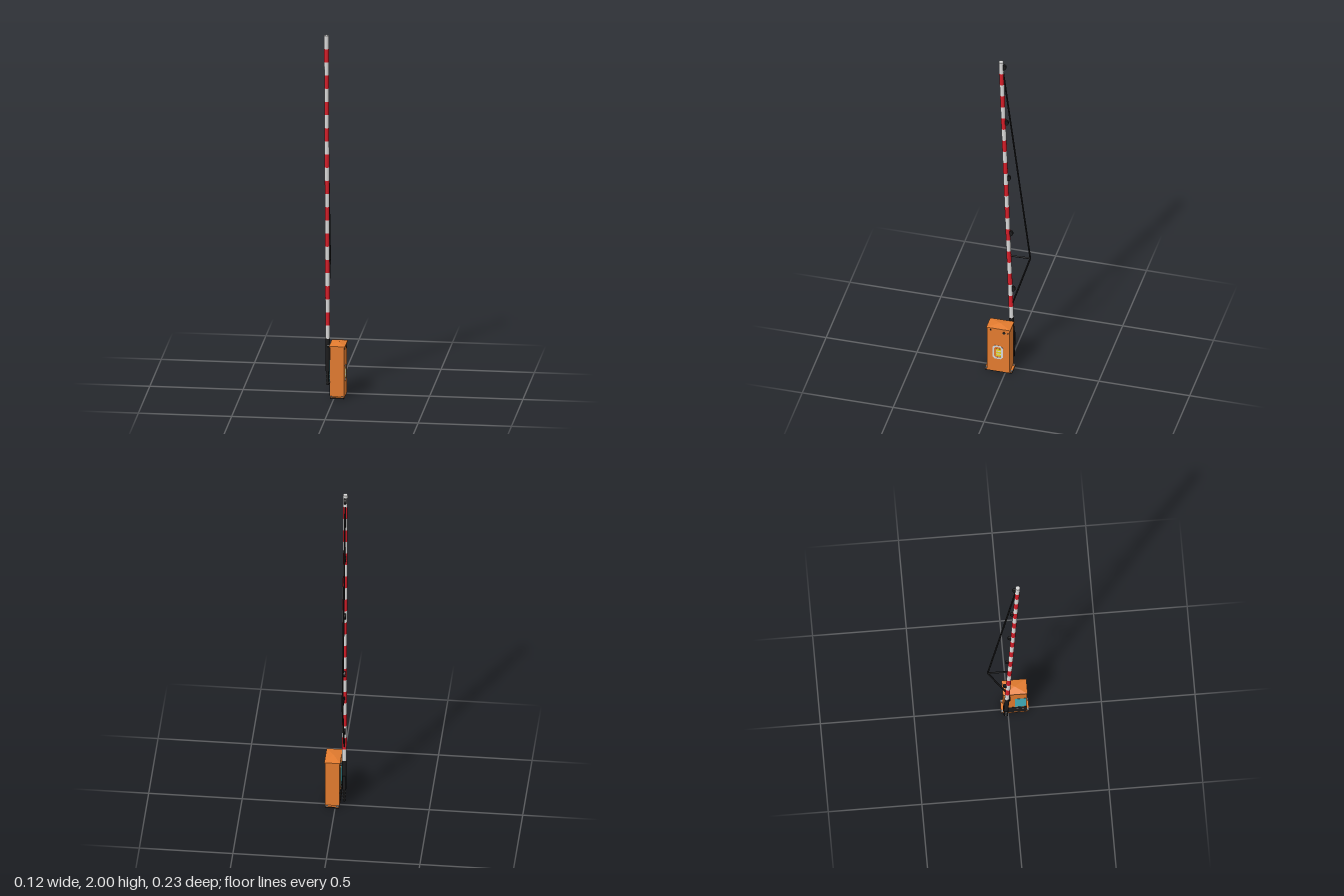
import * as THREE from 'three';

const mat = (name, color) => Object.assign(new THREE.MeshStandardMaterial({ color }), { name });

export function createModel() {
  const orange = mat('cabinet orange', 0xe47c2f);
  const black = mat('black', 0x1b1b1c);
  const white = mat('boom white', 0xdadada);
  const red = mat('boom red', 0xd61d28);
  const grey = mat('bolt grey', 0x8f8f8f);
  const teal = mat('panel teal', 0x42b2c0);
  const yellow = mat('badge yellow', 0xe8d81c);

  const model = new THREE.Group();
  model.name = 'barrierGate';

  const add = (parent, name, geometry, material, x, y, z) => {
    const mesh = new THREE.Mesh(geometry, material);
    mesh.name = name;
    mesh.position.set(x, y, z);
    parent.add(mesh);
    return mesh;
  };
  const box = (parent, name, material, size, x, y, z) =>
    add(parent, name, new THREE.BoxGeometry(...size), material, x, y, z);
  // Cylinder lying along x
  const disc = (parent, name, material, r, length, x, y, z) => {
    const mesh = add(parent, name, new THREE.CylinderGeometry(r, r, length, 16), material, x, y, z);
    mesh.rotation.z = Math.PI / 2;
  };
  // Round bar between two points in the x = 0 plane, given as [y, z]
  const bar = (parent, name, a, b) => {
    const dy = b[0] - a[0], dz = b[1] - a[1];
    const geometry = new THREE.CylinderGeometry(0.0046, 0.0046, Math.hypot(dy, dz), 10);
    const mesh = add(parent, name, geometry, black, 0, (a[0] + b[0]) / 2, (a[1] + b[1]) / 2);
    mesh.rotation.x = Math.atan2(dz, dy);
  };

  // Cabinet with a slightly overhanging low pyramid roof
  const cx = 0.016, cz = 0.038, w = 0.077, d = 0.124;
  const roofW = 0.085, roofD = 0.132;
  const cabinet = new THREE.Group();
  cabinet.name = 'cabinet';
  model.add(cabinet);
  box(cabinet, 'cabinetBody', orange, [w, 0.279, d], cx, 0.1425, cz);
  box(cabinet, 'basePlate', black, [w, 0.003, d], cx, 0.0015, cz);
  box(cabinet, 'roofRim', orange, [roofW, 0.006, roofD], cx, 0.285, cz);
  let roof = new THREE.ConeGeometry(Math.SQRT1_2, 1, 4, 1, true);
  roof.rotateY(Math.PI / 4);
  roof.scale(roofW, 0.01, roofD);
  roof = roof.toNonIndexed();
  roof.computeVertexNormals();
  add(cabinet, 'roof', roof, orange, cx, 0.293, cz);

  // Mounting flanges with clips and bolts, front and back
  for (const s of [-1, 1]) {
    const z = cz + s * (d / 2 + 0.0065);
    box(cabinet, 'flangeBase', black, [0.074, 0.007, 0.013], cx, 0.0035, z);
    box(cabinet, 'flangeTop', orange, [0.074, 0.002, 0.013], cx, 0.008, z);
    for (const x of [-0.013, 0.045]) {
      box(cabinet, 'flangeClip', grey, [0.015, 0.002, 0.009], x, 0.01, z + s * 0.001);
      add(cabinet, 'flangeBolt', new THREE.CylinderGeometry(0.004, 0.004, 0.004, 6), grey, x, 0.011, z + s * 0.001);
    }
  }

  // Outer side: framed badge with a striped centre, and lock caps
  const sideX = cx + w / 2;
  const octagon = (path, a, b, c) => {
    path.setFromPoints([[a - c, -b], [a, c - b], [a, b - c], [a - c, b], [c - a, b], [-a, b - c], [-a, c - b], [c - a, -b]]
      .map(([x, y]) => new THREE.Vector2(x, y)));
    path.closePath();
    return path;
  };
  const frame = octagon(new THREE.Shape(), 0.029, 0.044, 0.013);
  frame.holes.push(octagon(new THREE.Path(), 0.02, 0.034, 0.009));
  const ring = new THREE.ExtrudeGeometry(frame, { depth: 0.001, bevelEnabled: false });
  add(cabinet, 'badgeFrame', ring, white, sideX, 0.129, 0.042).rotation.y = Math.PI / 2;
  for (let i = 0; i < 5; i++) {
    box(cabinet, 'badgeStripe', i % 2 ? white : yellow, [0.002, i % 2 ? 0.006 : 0.012, 0.027],
      sideX, 0.145 - i * 0.009, 0.037);
  }
  for (const [y, z, r] of [[0.262, 0.007, 0.008], [0.262, -0.014, 0.004], [0.272, 0.08, 0.004]]) {
    disc(cabinet, 'lockCap', black, r, 0.003, sideX, y, z);
  }

  // Boom side: service panels
  const innerX = cx - w / 2;
  box(cabinet, 'servicePanel', teal, [0.002, 0.12, 0.06], innerX, 0.15, 0.067);
  box(cabinet, 'kickPanel', black, [0.002, 0.07, 0.12], innerX, 0.05, cz);
  for (const z of [0.05, 0.08]) disc(cabinet, 'kickPanelBolt', grey, 0.005, 0.004, innerX, 0.06, z);

  // Pivot shaft
  disc(model, 'pivotShaft', black, 0.007, 0.03, -0.035, 0.262, 0.004);

  // Raised boom, leaning slightly forward about the pivot
  const boom = new THREE.Group();
  boom.name = 'boom';
  boom.position.set(-0.047, 0.262, -0.0086);
  boom.rotation.x = 0.0337;
  model.add(boom);
  const start = 0.038, bands = 23, step = (1.738 - start) / bands;
  for (let i = 0; i < bands; i++) {
    add(boom, i % 2 ? 'redBand' : 'whiteBand', new THREE.CylinderGeometry(0.0125, 0.0125, step, 20),
      i % 2 ? red : white, 0, start + (i + 0.5) * step, 0);
  }

  // Sleeve and counterweight stem below the boom
  add(boom, 'boomSleeve', new THREE.CylinderGeometry(0.0128, 0.0128, 0.183, 20), black, 0, -0.0535, 0);
  box(boom, 'sleeveBackRib', black, [0.014, 0.085, 0.006], 0, -0.1, -0.0125);
  box(boom, 'counterweightStem', black, [0.012, 0.077, 0.022], 0, -0.183, 0.002);
  for (let i = 0; i < 3; i++) disc(boom, 'stemBolt', grey, 0.005, 0.017, 0, -0.165 - i * 0.022, 0.002);

  // Warning lamps along the back of the boom
  for (let i = 0; i < 5; i++) disc(boom, 'lamp', black, 0.017, 0.012, 0, 0.23 + i * 0.3685, -0.0115);

  // Truss bars bracing the boom
  const apex = [0.447, -0.1175];
  bar(boom, 'upperBrace', [1.668, -0.01], apex);
  bar(boom, 'lowerBrace', [0.128, -0.008], apex);
  bar(boom, 'spreader', [0.447, 0], apex);
  add(boom, 'braceJoint', new THREE.SphereGeometry(0.0046, 10, 8), black, 0, ...apex);

  return model;
}
